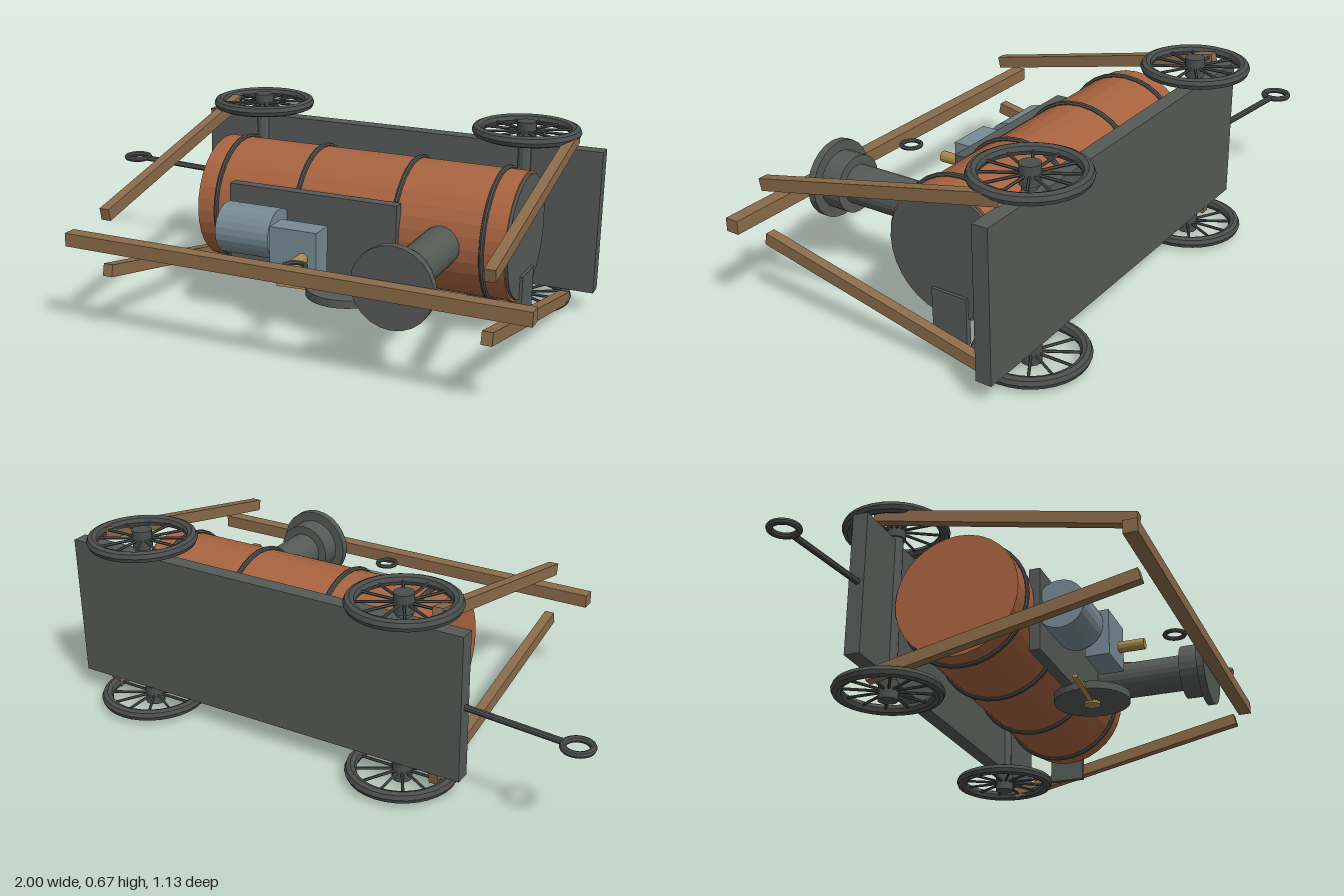
import * as THREE from 'three';

const IRON = 0x555a57, DARK = 0x4a4f4d, COPPER = 0xa8633f, WOOD = 0x8b6b4a, STEEL = 0x778a94, BRASS = 0xa88a48;
const MID = 0.335; // height of the long axis
const mats = {};
const mat = (c) => (mats[c] ??= new THREE.MeshStandardMaterial({ color: c, flatShading: true }));

function add(parent, name, geo, color, x = 0, y = 0, z = 0) {
  const m = new THREE.Mesh(geo, mat(color));
  m.name = name;
  m.position.set(x, y, z);
  parent.add(m);
  return m;
}
const box = (w, h, d) => new THREE.BoxGeometry(w, h, d);
const cylY = (r, h, n = 24) => new THREE.CylinderGeometry(r, r, h, n);
const cylX = (r, h, n = 24) => cylY(r, h, n).rotateZ(Math.PI / 2);
const cylZ = (r, h, n = 24) => cylY(r, h, n).rotateX(Math.PI / 2);
const ringY = (r, t, n = 32) => new THREE.TorusGeometry(r, t, 8, n).rotateX(Math.PI / 2);

// Straight bar whose length runs from a to b
function bar(parent, name, geo, color, a, b) {
  const m = add(parent, name, geo, color);
  m.position.copy(a).lerp(b, 0.5);
  m.quaternion.setFromUnitVectors(new THREE.Vector3(0, 1, 0), b.clone().sub(a).normalize());
  return m;
}

function wheel() {
  const g = new THREE.Group();
  g.name = 'wheel';
  add(g, 'rim', ringY(0.169, 0.02), DARK);
  add(g, 'hub', cylY(0.034, 0.066, 16), DARK);
  for (let i = 0; i < 12; i++) {
    const spoke = new THREE.CylinderGeometry(0.005, 0.005, 0.15, 6).rotateZ(Math.PI / 2).translate(0.09, 0, 0);
    add(g, 'spoke', spoke.rotateY((i * Math.PI) / 6), DARK);
  }
  return g;
}

export function createModel() {
  const model = new THREE.Group();
  const v = (x, y, z) => new THREE.Vector3(x, y, z);

  // Bed plate
  add(model, 'bedPlate', box(1.52, 0.51, 0.055), IRON, 0.2, MID, -0.393);

  // Boiler with bands, end cover and fire door
  add(model, 'boiler', cylX(0.222, 1.126, 32), COPPER, 0.203, MID, -0.13);
  for (const x of [-0.286, 0.022, 0.38, 0.69])
    add(model, 'boilerBand', new THREE.TorusGeometry(0.225, 0.009, 8, 32).rotateY(Math.PI / 2), DARK, x, MID, -0.13);
  add(model, 'boilerCover', cylX(0.214, 0.02, 32), IRON, 0.766, MID, -0.13);
  add(model, 'fireDoor', box(0.02, 0.165, 0.13), IRON, 0.776, 0.127, -0.141);

  // Chimney with stepped cap
  add(model, 'chimney', cylZ(0.068, 0.36), IRON, 0.547, MID, 0.24);
  add(model, 'chimneyCollar', cylZ(0.1, 0.075), IRON, 0.547, MID, 0.449);
  add(model, 'chimneyCap', cylZ(0.135, 0.027), IRON, 0.547, MID, 0.499);

  // Engine on its mounting plate
  add(model, 'enginePlate', box(0.62, 0.3, 0.04), IRON, 0.093, 0.31, 0.094);
  add(model, 'engineCylinder', cylX(0.088, 0.2), STEEL, -0.096, 0.325, 0.175);
  add(model, 'valveChest', box(0.17, 0.167, 0.088), STEEL, 0.105, 0.301, 0.234);
  add(model, 'regulator', cylZ(0.02, 0.11, 12), BRASS, 0.14, 0.289, 0.316);
  add(model, 'flywheel', cylY(0.137, 0.028, 32), IRON, 0.238, 0.15, 0.142);
  add(model, 'flywheelHub', cylY(0.03, 0.05, 16), BRASS, 0.238, 0.151, 0.142);
  bar(model, 'connectingRod', box(0.018, 0.245, 0.013).rotateY(Math.PI / 2), BRASS, v(-0.01, 0.139, 0.163), v(0.234, 0.139, 0.142));

  // Wheels and axles
  for (const x of [-0.333, 0.688]) {
    add(model, 'axle', cylY(0.026, 0.6, 12), IRON, x, MID, -0.375);
    for (const y of [0.036, 0.636]) {
      const w = wheel();
      w.position.set(x, y, -0.376);
      model.add(w);
    }
  }

  // Timber frame: ridge beam and sloping posts
  add(model, 'ridgeBeam', box(1.59, 0.046, 0.048), WOOD, 0.2, MID, 0.541);
  for (const x of [-0.455, 0.854])
    for (const s of [-1, 1]) {
      const a = v(x, MID + s * 0.097, 0.53), b = v(x, MID + s * 0.294, -0.39);
      bar(model, 'post', box(0.035, a.distanceTo(b), 0.042), WOOD, a, b);
    }
  // Hook ring beside the beam
  add(model, 'hookRing', ringY(0.035, 0.008, 20), DARK, 0.202, MID, 0.464);

  // Tow bar with eye
  const p = v(-0.55, MID, -0.388), q = v(-0.9, MID, -0.426);
  bar(model, 'towBar', cylY(0.011, p.distanceTo(q), 10), DARK, p, q);
  add(model, 'towEye', ringY(0.045, 0.011, 24), DARK, -0.945, MID, -0.43);

  return model;
}
